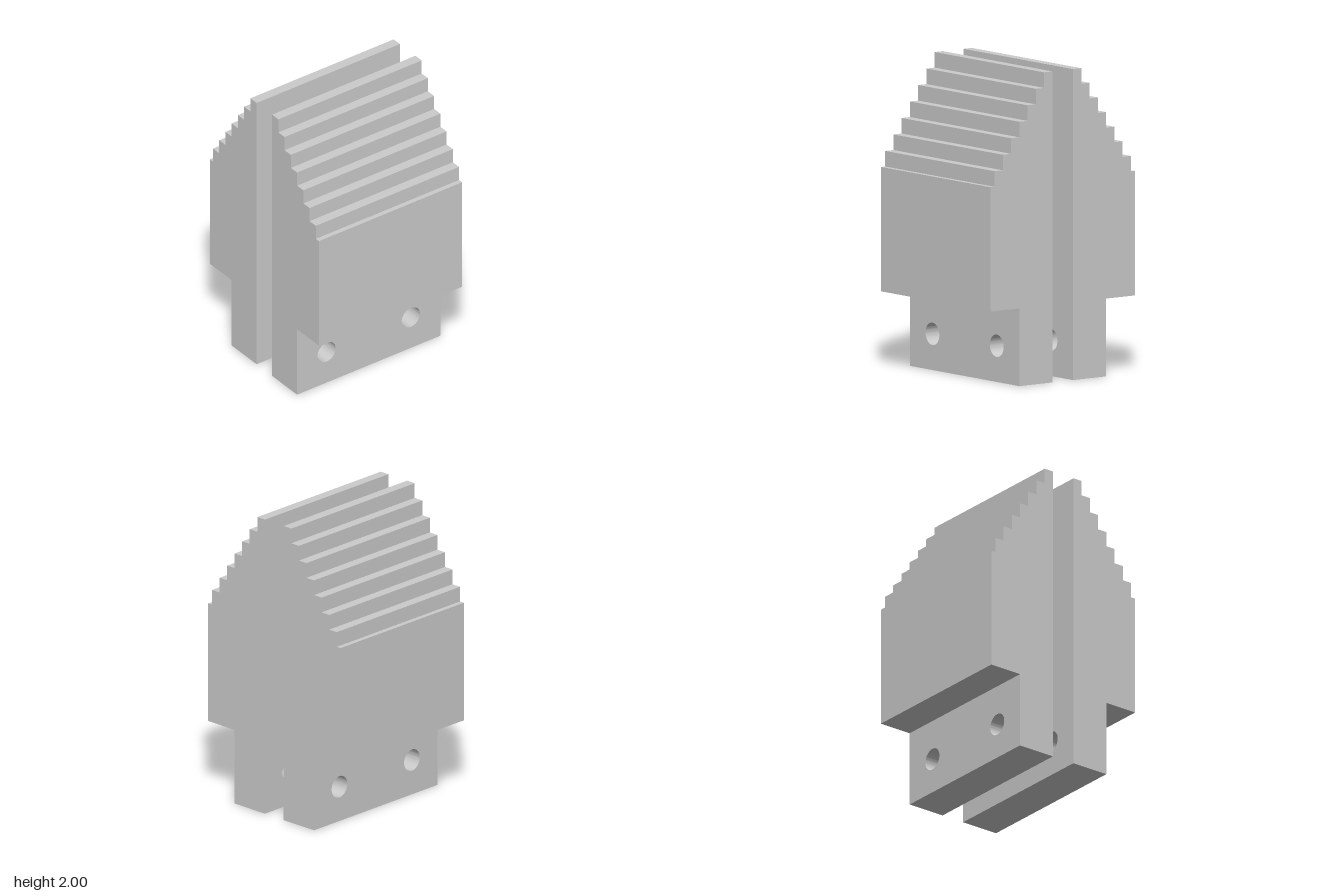
import * as THREE from 'three';
import { toCreasedNormals } from 'three/addons/utils/BufferGeometryUtils.js';

const INNER = 0.083, OUTER = 0.583, FOOT_OUTER = 0.35;
const HALF_DEPTH = 0.567, FOOT_TOP = 0.5, TOP = 2;

// Stepped jaw profile in x/y, extruded along z
function jawGeometry() {
  const shape = new THREE.Shape();
  shape.moveTo(INNER, FOOT_TOP);
  shape.lineTo(OUTER, FOOT_TOP);
  shape.lineTo(OUTER, 1.3);
  for (let i = 6; i >= 0; i--) {
    const x = 0.15 + i / 15;
    const y = TOP - 0.1 * (i + 1);
    shape.lineTo(x, y);
    shape.lineTo(x, y + 0.1);
  }
  shape.lineTo(INNER, TOP);
  shape.closePath();
  const geometry = new THREE.ExtrudeGeometry(shape, { depth: 2 * HALF_DEPTH, bevelEnabled: false });
  return geometry.translate(0, 0, -HALF_DEPTH);
}

// Mounting foot with two round bolt holes, extruded along x
function footGeometry() {
  const shape = new THREE.Shape();
  shape.moveTo(-HALF_DEPTH, 0);
  shape.lineTo(HALF_DEPTH, 0);
  shape.lineTo(HALF_DEPTH, FOOT_TOP);
  shape.lineTo(-HALF_DEPTH, FOOT_TOP);
  shape.closePath();
  for (const z of [-0.333, 0.333]) {
    shape.holes.push(new THREE.Path().absarc(z, 0.233, 0.072, 0, Math.PI * 2, true));
  }
  const geometry = new THREE.ExtrudeGeometry(shape, {
    depth: FOOT_OUTER - INNER, bevelEnabled: false, curveSegments: 32,
  });
  geometry.rotateY(Math.PI / 2).translate(INNER, 0, 0);
  return toCreasedNormals(geometry, 0.6);
}

export function createModel() {
  const model = new THREE.Group();
  model.name = 'steppedJaws';
  const material = new THREE.MeshStandardMaterial({ color: 0xcccccc });
  const jawGeo = jawGeometry();
  const footGeo = footGeometry();

  // Two identical halves, the right one turned to face the left
  for (const side of ['left', 'right']) {
    const half = new THREE.Group();
    half.name = side + 'Half';
    const jaw = new THREE.Mesh(jawGeo, material);
    jaw.name = side + 'SteppedJaw';
    const foot = new THREE.Mesh(footGeo, material);
    foot.name = side + 'MountingFoot';
    half.add(jaw, foot);
    if (side === 'right') half.rotation.y = Math.PI;
    model.add(half);
  }
  return model;
}
